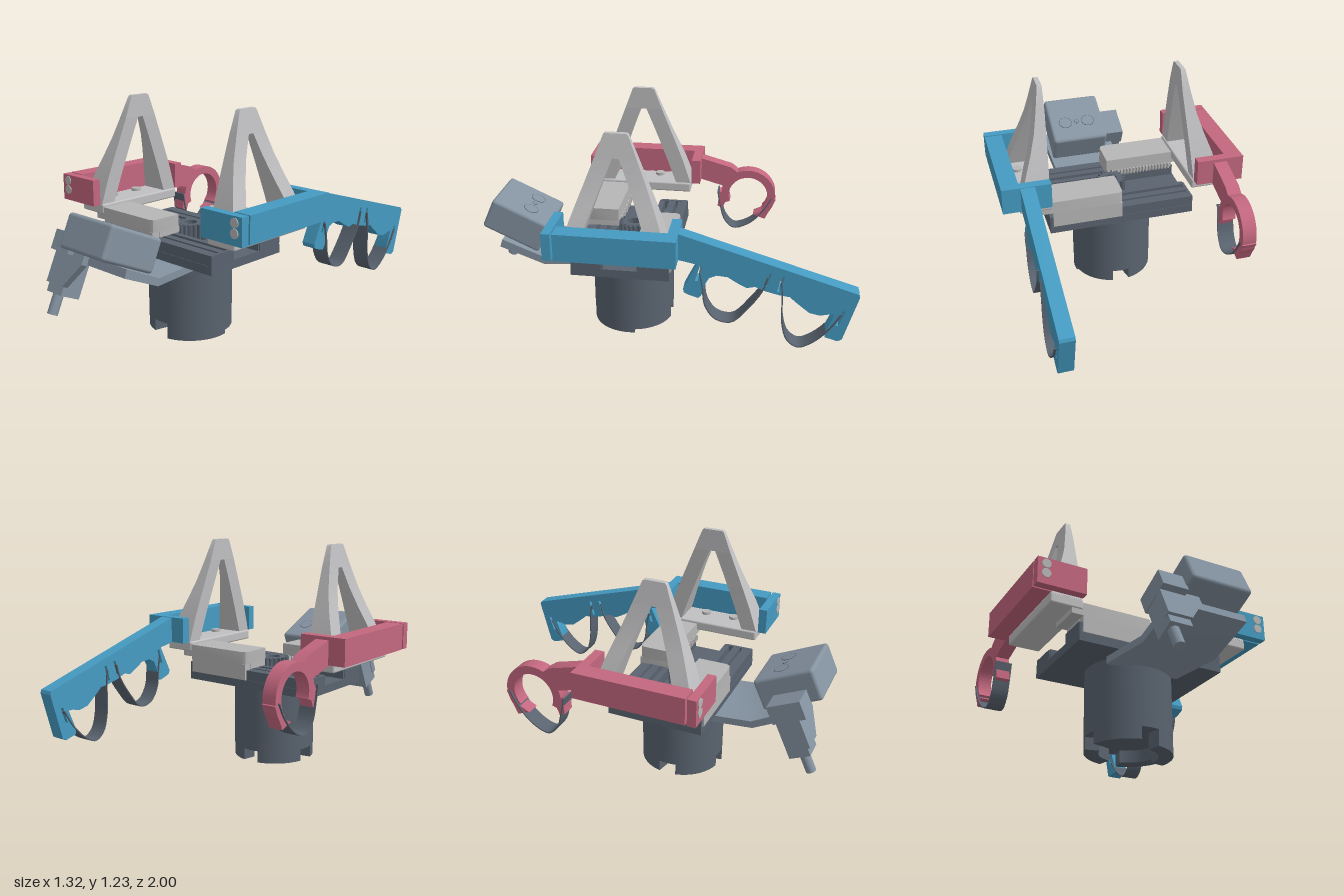
import * as THREE from 'three';
import { toCreasedNormals } from 'three/addons/utils/BufferGeometryUtils.js';
import { RoundedBoxGeometry } from 'three/addons/geometries/RoundedBoxGeometry.js';

const mat = (name, color) => Object.assign(new THREE.MeshStandardMaterial({ color }), { name });

export function createModel() {
  const model = new THREE.Group();
  model.name = 'gripper';
  const blue = mat('blue', 0x459bc2), red = mat('rose', 0xc3677f), light = mat('light grey', 0xb6b6b6);
  const pale = mat('pale grey', 0xc0c0c2), slate = mat('slate', 0x8593a1), dark = mat('dark slate', 0x59636f);

  const add = (name, geo, material, parent = model, pos) => {
    const m = new THREE.Mesh(geo, material);
    m.name = name;
    if (pos) m.position.set(...pos);
    parent.add(m);
    return m;
  };
  // box given by its ranges
  const box = (name, material, [x0, x1], [y0, y1], [z0, z1], parent = model, r = 0) => {
    const s = [x1 - x0, y1 - y0, z1 - z0];
    const geo = r ? new RoundedBoxGeometry(...s, 3, r) : new THREE.BoxGeometry(...s);
    return add(name, geo, material, parent, [(x0 + x1) / 2, (y0 + y1) / 2, (z0 + z1) / 2]);
  };
  const toShape = (pts) => new THREE.Shape(pts.map((p) => new THREE.Vector2(...p)));
  const extrude = (shape, depth) =>
    new THREE.ExtrudeGeometry(shape, { depth, bevelEnabled: false, curveSegments: 24 });
  // side profile (u = -z, y) swept along x
  const sideExtrude = (shape, x0, x1) =>
    toCreasedNormals(extrude(shape, x1 - x0).rotateY(Math.PI / 2).translate(x0, 0, 0), 0.6);
  // plan outline (x, v = -z) swept along y
  const planExtrude = (shape, y0, y1) =>
    toCreasedNormals(extrude(shape, y1 - y0).rotateX(-Math.PI / 2).translate(0, y0, 0), 0.6);
  const lerp = (table, y) => {
    for (let i = 1; i < table.length; i++) {
      const [a, b] = [table[i - 1], table[i]];
      if (y <= b[0] || i === table.length - 1)
        return a[1] + (b[1] - a[1]) * Math.min(1, Math.max(0, (y - a[0]) / (b[0] - a[0])));
    }
  };

  // motor housing with notched foot
  add('motorHousing', new THREE.CylinderGeometry(0.225, 0.225, 0.365, 48), dark, model, [0, 0.2675, 0.2]);
  [[-78, 10, 0], [10, 78, 0.02], [102, 168, 0.02], [192, 258, 0.02]].forEach(([a, b, y]) => {
    const [p, q] = [THREE.MathUtils.degToRad(a), THREE.MathUtils.degToRad(b)];
    const s = new THREE.Shape();
    s.absarc(0, 0, 0.224, p, q, false);
    s.absarc(0, 0, 0.15, q, p, true);
    add('motorFoot', planExtrude(s, y, 0.086), dark, model, [0, 0, 0.2]);
  });

  // base plate, guide rails and their end walls
  box('basePlate', dark, [-0.405, 0.405], [0.445, 0.49], [-0.058, 0.458]);
  [[0.4, 0.42], [0.345, 0.385], [0.29, 0.32]].forEach(([a, b]) => {
    box('guideRail', dark, [-0.4, 0.4], [0.48, 0.544], [a, b]);
    box('guideRail', dark, [-0.4, 0.4], [0.48, 0.544], [0.4 - b, 0.4 - a]);
  });
  box('railSide', dark, [0, 0.405], [0.48, 0.544], [0.42, 0.455]);
  box('railSide', dark, [-0.405, 0], [0.48, 0.544], [-0.055, -0.02]);
  for (const x of [-0.405, 0.387])
    for (const z of [-0.056, 0.3]) box('railEnd', dark, [x, x + 0.018], [0.48, 0.545], [z, z + 0.156]);

  // pinion
  const teeth = [];
  for (let i = 0; i < 18; i++)
    [[0, 0.064], [0.3, 0.064], [0.5, 0.082], [0.8, 0.082]].forEach(([f, r]) => {
      const a = ((i + f) / 18) * Math.PI * 2;
      teeth.push([r * Math.cos(a), r * Math.sin(a)]);
    });
  const gear = toShape(teeth);
  const bore = new THREE.Path();
  bore.absarc(0, 0, 0.035, 0, Math.PI * 2, true);
  gear.holes.push(bore);
  add('pinion', planExtrude(gear, 0.48, 0.585), dark, model, [0, 0, 0.195]);

  // two toothed racks, the second turned half round
  const rackPts = [[0, -0.285], [0, -0.42], [-0.39, -0.42], [-0.39, -0.285]];
  for (let i = 0; i < 20; i++) {
    const x = -0.38 + i * 0.019;
    rackPts.push([x, -0.285], [x + 0.004, -0.27], [x + 0.011, -0.27], [x + 0.015, -0.285]);
  }
  const barShape = toShape([[0, -0.283], [0, -0.44], [-0.008, -0.457], [-0.025, -0.465], [-0.45, -0.465], [-0.45, -0.283]]);
  for (const turned of [false, true]) {
    const rack = new THREE.Group();
    rack.name = turned ? 'backRack' : 'frontRack';
    if (turned) { rack.rotation.y = Math.PI; rack.position.z = 0.4; }
    model.add(rack);
    add('rackTeeth', planExtrude(toShape(rackPts), 0.546, 0.578), light, rack);
    add('rackBar', planExtrude(barShape, 0.577, 0.645), light, rack);
    box('rackSkirt', light, [-0.387, -0.003], [0.49, 0.578], [0.42, 0.465], rack);
  }

  // thin strap along a curve of (u, y) points
  const strap = (pts, x0, x1, parent) => {
    const curve = new THREE.CatmullRomCurve3(pts.map(([u, y]) => new THREE.Vector3(u, y, 0)));
    const a = [], b = [];
    for (let i = 0; i <= 32; i++) {
      const p = curve.getPoint(i / 32), t = curve.getTangent(i / 32);
      a.push([p.x + t.y * 0.003, p.y - t.x * 0.003]);
      b.unshift([p.x - t.y * 0.003, p.y + t.x * 0.003]);
    }
    add('strap', sideExtrude(toShape([...a, ...b]), x0, x1), dark, parent);
  };

  // finger legs and tip as rows of [y, z from, z to]; thickness follows the x tables
  const inner = [[0.66, 0.4], [1.1, 0.377], [1.23, 0.377]];
  const outer = [[0.655, 0.56], [0.8, 0.515], [0.9, 0.478], [1, 0.447], [1.11, 0.424], [1.23, 0.402]];
  const frontLeg = [[0.655, 0.385, 0.47], [0.8, 0.335, 0.425], [0.9, 0.298, 0.387], [1, 0.26, 0.348], [1.11, 0.216, 0.305]];
  const backLeg = frontLeg.map(([y, a, b]) => [y, 0.4 - b, 0.4 - a]);
  const tip = [[1.11, 0.095, 0.305], [1.222, 0.138, 0.262], [1.23, 0.147, 0.253]];
  const loft = (rows, [sx, so]) => {
    const n = rows.length - 1, geo = new THREE.BoxGeometry(1, 1, 1, 1, n, 1), p = geo.attributes.position;
    for (let i = 0; i < p.count; i++) {
      const [y, a, b] = rows[Math.round((p.getY(i) + 0.5) * n)];
      const isOuter = p.getX(i) * sx > 0;
      p.setXYZ(i, sx * lerp(isOuter ? so : inner, y), y, p.getZ(i) > 0 ? b : a);
    }
    return toCreasedNormals(geo, 0.5);
  };

  for (const s of [1, -1]) {
    const side = s > 0 ? 'left' : 'right', paint = s > 0 ? blue : red;
    const rx = (a, b) => (s > 0 ? [a, b] : [-b, -a]);

    // A-shaped finger
    const finger = new THREE.Group();
    finger.name = side + 'Finger';
    model.add(finger);
    add('fingerFrontLeg', loft(frontLeg, [s, outer]), pale, finger);
    add('fingerBackLeg', loft(backLeg, [s, outer]), pale, finger);
    add('fingerTip', loft(tip, [s, outer]), pale, finger);
    box('fingerBase', pale, rx(0.39, 0.565), [0.605, 0.66], [-0.07, 0.47], finger, 0.01);
    for (const z of [0.127, 0.296])
      add('fingerScrew', new THREE.CylinderGeometry(0.026, 0.026, 0.02, 20), light, finger, [s * 0.515, 0.665, z]);

    // bracket round the finger
    const arm = new THREE.Group();
    arm.name = side + 'Arm';
    model.add(arm);
    box('clampPlate', paint, rx(0.4, 0.66), [0.658, 0.8], [0.48, 0.525], arm);
    box('sideBar', paint, rx(0.565, 0.66), [0.658, 0.8], [-0.125, 0.47], arm);
    box('backBar', paint, rx(0.4, 0.66), [0.658, 0.8], [-0.125, -0.075], arm);
    for (const y of [0.717, 0.768]) {
      add('clampBolt', new THREE.CylinderGeometry(0.024, 0.024, 0.008, 24).rotateX(Math.PI / 2), light, arm, [s * 0.615, y, 0.526]);
      add('boltShank', new THREE.CylinderGeometry(0.012, 0.012, 0.05, 16).rotateX(Math.PI / 2), light, arm, [s * 0.615, y, 0.475]);
    }
  }

  // long blue finger grip with strap slots
  const leftGrip = new THREE.Group();
  leftGrip.name = 'leftGrip';
  model.add(leftGrip);
  const grip = toShape([[0.1, 0.66], [0.115, 0.66], [0.217, 0.64], [0.15, 0.5], [0.155, 0.48], [0.175, 0.47], [0.225, 0.455],
    [0.24, 0.47], [0.26, 0.54], [0.277, 0.57], [0.313, 0.587], [0.366, 0.583], [0.42, 0.55], [0.46, 0.53], [0.5, 0.54],
    [0.553, 0.519], [0.62, 0.503], [0.67, 0.497], [0.7, 0.47], [0.767, 0.417], [0.82, 0.406], [0.864, 0.417], [0.89, 0.417],
    [0.848, 0.31], [0.852, 0.285], [0.915, 0.268], [0.935, 0.28], [1, 0.52], [0.994, 0.537], [0.115, 0.8], [0.1, 0.8]]);
  [[0.237, 0.63, 0.215, 0.55], [0.57, 0.62, 0.548, 0.545], [0.634, 0.605, 0.612, 0.52], [0.932, 0.44, 0.905, 0.355]]
    .forEach(([u, y, u2, y2]) => grip.holes.push(new THREE.Path([[u - 0.007, y], [u + 0.007, y], [u2 + 0.007, y2], [u2 - 0.007, y2]]
      .map((p) => new THREE.Vector2(...p)))));
  add('gripBody', sideExtrude(grip, 0.486, 0.562), blue, leftGrip);
  strap([[0.23, 0.6], [0.245, 0.52], [0.26, 0.42], [0.31, 0.35], [0.39, 0.337], [0.47, 0.42], [0.54, 0.53], [0.56, 0.6]], 0.478, 0.572, leftGrip);
  strap([[0.625, 0.58], [0.634, 0.5], [0.64, 0.35], [0.67, 0.257], [0.725, 0.222], [0.795, 0.257], [0.865, 0.33], [0.92, 0.42]], 0.478, 0.572, leftGrip);

  // rose ring grip
  const rightGrip = new THREE.Group();
  rightGrip.name = 'rightGrip';
  model.add(rightGrip);
  const ring = new THREE.Shape();
  ring.absarc(0.405, 0.56, 0.16, -0.75, 3.5, false);
  ring.absarc(0.405, 0.56, 0.115, 3.5, -0.75, true);
  add('ringBody', sideExtrude(ring, -0.565, -0.49), red, rightGrip);
  add('ringNeck', sideExtrude(toShape([[0.1, 0.66], [0.28, 0.61], [0.36, 0.69], [0.3, 0.735], [0.1, 0.79]]), -0.565, -0.49), red, rightGrip);
  add('nearLug', sideExtrude(toShape([[0.235, 0.58], [0.225, 0.485], [0.255, 0.47], [0.285, 0.55]]), -0.565, -0.49), red, rightGrip);
  add('farLug', sideExtrude(toShape([[0.44, 0.44], [0.51, 0.415], [0.57, 0.54], [0.525, 0.56], [0.5, 0.47]]), -0.565, -0.49), red, rightGrip);
  strap([[0.225, 0.58], [0.24, 0.5], [0.27, 0.4], [0.325, 0.35], [0.42, 0.385], [0.5, 0.47], [0.545, 0.55]], -0.575, -0.482, rightGrip);

  // bent bracket carrying the sensor, skewed slightly sideways
  const bracket = sideExtrude(toShape([[-0.36, 0.44], [-0.36, 0.402], [-0.65, 0.402], [-0.88, 0.508], [-0.866, 0.55], [-0.64, 0.44]]), -0.195, 0.21);
  const bp = bracket.attributes.position;
  for (let i = 0; i < bp.count; i++) bp.setX(i, bp.getX(i) + (bp.getZ(i) - 0.46) * 0.13);
  add('sensorBracket', bracket, slate);

  // tilted sensor head, tool holder and pin
  const head = new THREE.Group();
  head.name = 'sensorHead';
  head.position.set(0.07, 0.618, 0.797);
  head.rotation.x = -0.43;
  model.add(head);
  box('sensorCase', slate, [-0.165, 0.165], [-0.088, 0.088], [-0.165, 0.165], head, 0.018);
  for (const [x, r] of [[-0.07, 0.04], [0.07, 0.04], [0, 0.014]]) {
    add('sensorRim', new THREE.CylinderGeometry(r, r, 0.002, 32), dark, head, [x, 0.0885, -0.03]);
    add('sensorLens', new THREE.CylinderGeometry(r - 0.003, r - 0.003, 0.003, 32), slate, head, [x, 0.0885, -0.03]);
  }
  box('sideBlock', slate, [-0.295, -0.16], [-0.11, -0.01], [-0.08, 0.1], head);
  const holder = toShape([[-0.295, -0.09], [-0.295, -0.27], [-0.17, -0.27], [-0.08, -0.14], [-0.08, -0.09]]);
  add('toolHolder', extrude(holder, 0.035), slate, head, [0, 0, 0.03]);
  box('holderColumn', slate, [-0.29, -0.175], [-0.315, -0.1], [-0.065, 0.05], head);
  add('toolPin', new THREE.CylinderGeometry(0.027, 0.027, 0.2, 24), slate, head, [-0.25, -0.32, 0.005]);

  return model;
}
